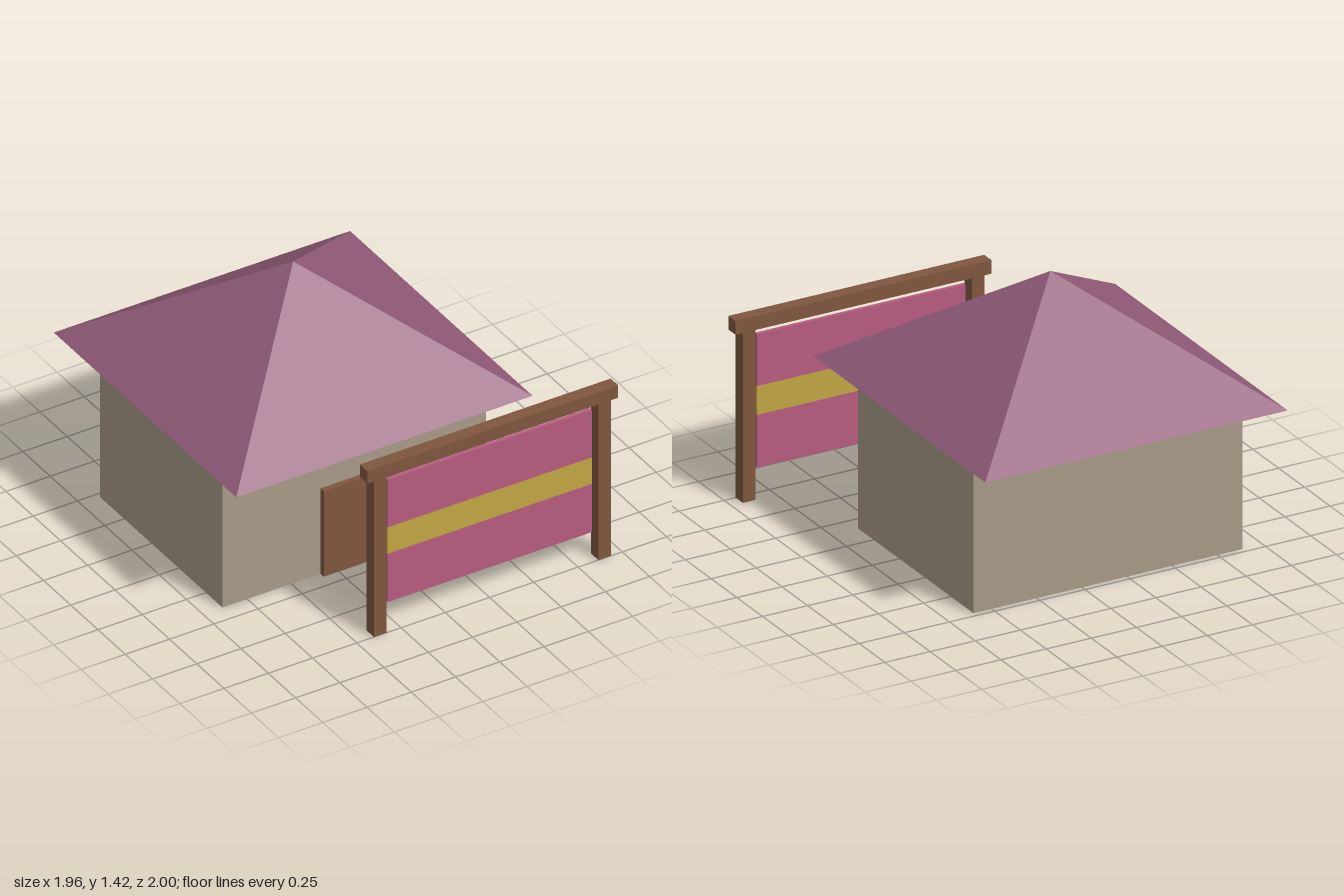
import * as THREE from 'three';

function material(name, color) {
  const m = new THREE.MeshStandardMaterial({ color });
  m.name = name;
  return m;
}

export function createModel() {
  const wall = material('plaster', 0xa89a88);
  const roofPaint = material('plum roof', 0x925b78);
  const wood = material('brown wood', 0x7f573f);
  const cloth = material('pink cloth', 0xb85c80);
  const gold = material('gold stripe', 0xc2a644);

  const model = new THREE.Group();
  model.name = 'hutWithBanner';

  // Box given by its lower and upper corners
  function box(parent, name, mat, [x0, y0, z0], [x1, y1, z1]) {
    const mesh = new THREE.Mesh(new THREE.BoxGeometry(x1 - x0, y1 - y0, z1 - z0), mat);
    mesh.position.set((x0 + x1) / 2, (y0 + y1) / 2, (z0 + z1) / 2);
    mesh.name = name;
    parent.add(mesh);
  }

  // House: walls, door and pyramid roof
  const house = new THREE.Group();
  house.name = 'house';
  model.add(house);
  box(house, 'walls', wall, [-0.89, 0, -0.72], [0.6, 0.825, 0.4]);
  box(house, 'door', wood, [-0.335, 0, 0.4], [0.065, 0.495, 0.43]);

  const roofHeight = 0.595;
  const roofGeometry = new THREE.ConeGeometry(0.837 * Math.SQRT2, roofHeight, 4).toNonIndexed();
  roofGeometry.rotateY(Math.PI / 4);
  roofGeometry.computeVertexNormals();
  const roof = new THREE.Mesh(roofGeometry, roofPaint);
  roof.name = 'roof';
  roof.position.set(-0.143, 0.825 + roofHeight / 2, -0.163);
  house.add(roof);

  // Banner frame: two posts and a crossbeam
  const banner = new THREE.Group();
  banner.name = 'bannerStand';
  model.add(banner);
  for (const [name, x] of [['rightPost', -0.403], ['leftPost', 0.865]]) {
    box(banner, name, wood, [x, 0, 0.93], [x + 0.071, 0.9, 1]);
  }
  box(banner, 'crossbeam', wood, [-0.44, 0.9, 0.93], [0.977, 0.972, 1]);

  // Hanging cloth in three horizontal bands
  const bands = [
    ['lowerCloth', cloth, 0.155, 0.435],
    ['clothStripe', gold, 0.435, 0.588],
    ['upperCloth', cloth, 0.588, 0.863],
  ];
  for (const [name, mat, y0, y1] of bands) {
    box(banner, name, mat, [-0.31, y0, 0.955], [0.843, y1, 0.975]);
  }

  return model;
}
